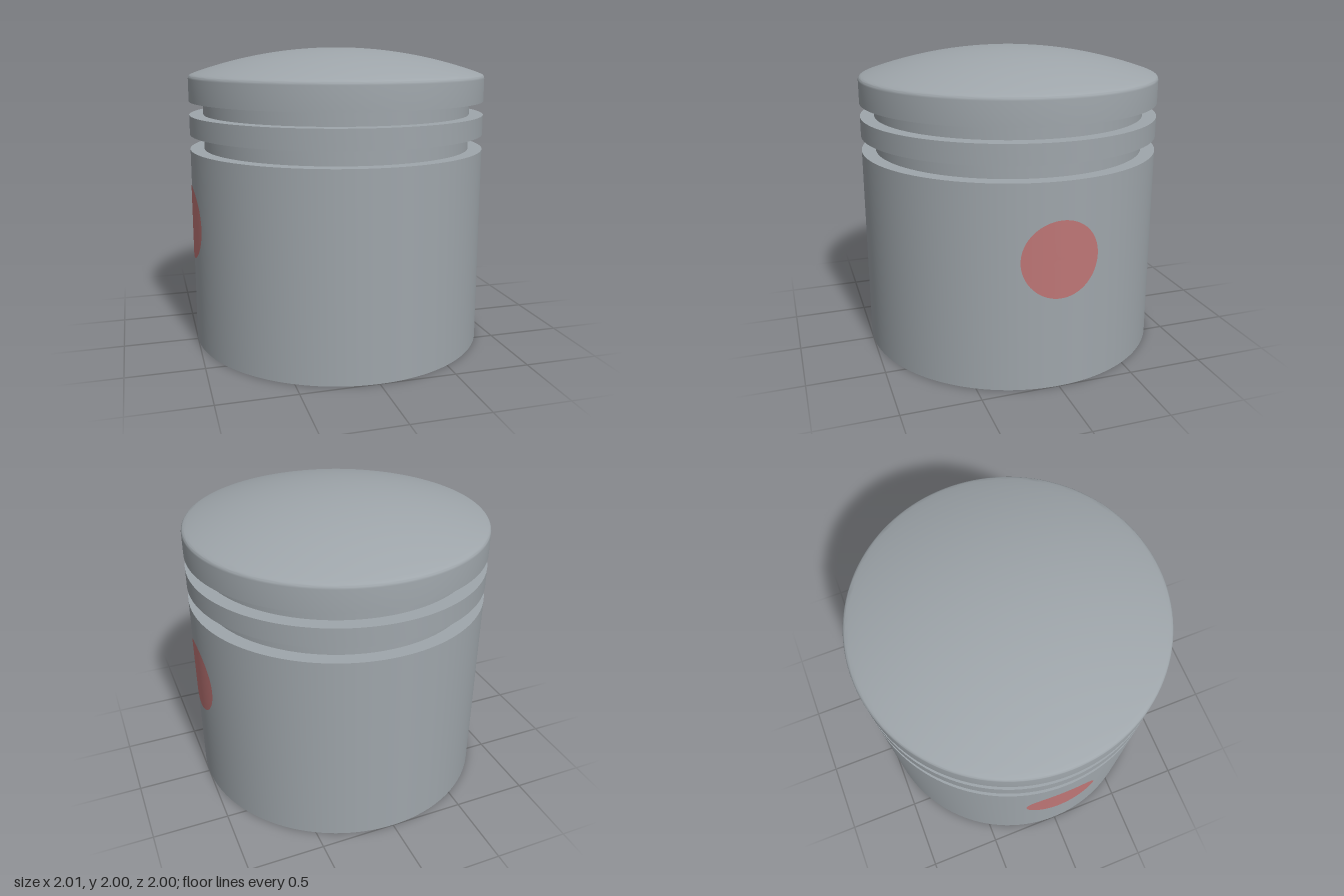
import * as THREE from 'three';
import { toCreasedNormals } from 'three/addons/utils/BufferGeometryUtils.js';

const metal = new THREE.MeshStandardMaterial({ color: 0x9fa6ab });
metal.name = 'metal grey';
const red = new THREE.MeshStandardMaterial({ color: 0xbe7676 });
red.name = 'pin red';

const PIN_Y = 0.845;
const v = (x, y) => new THREE.Vector2(x, y);

function mesh(name, geometry, material) {
  const m = new THREE.Mesh(geometry, material);
  m.name = name;
  return m;
}

function turned(points, segments) {
  return toCreasedNormals(new THREE.LatheGeometry(points, segments), 0.6);
}

// Quarter round from pointing outward to pointing along the axis
function fillet(cx, cy, r, from, to, steps = 6) {
  return Array.from({ length: steps + 1 }, (_, i) => {
    const a = from + ((to - from) * i) / steps;
    return v(cx + r * Math.cos(a), cy + r * Math.sin(a));
  });
}

// Hollow skirt, ring grooves and domed crown in one turned profile
function pistonBody() {
  const outer = 1, inner = 0.867, groove = 0.907;
  const points = [v(0, 1.6), v(inner, 1.6), v(inner, 0), v(outer, 0)];
  for (const [low, high] of [[1.33, 1.43], [1.56, 1.65]]) {
    points.push(v(outer, low), v(groove, low), v(groove, high), v(outer, high));
  }
  points.push(...fillet(0.97, 1.8, 0.03, 0, 1.23));
  const domeR = 2.9, steps = 14;
  const start = Math.asin(0.96 / domeR);
  for (let i = 0; i <= steps; i++) {
    const a = start * (1 - i / steps);
    points.push(v(domeR * Math.sin(a), 2 - domeR * (1 - Math.cos(a))));
  }
  return mesh('pistonBody', turned(points, 128), metal);
}

// Round plate that follows the curve of the skirt, facing +x
function pinCap(radius) {
  const g = new THREE.RingGeometry(0, radius, 64, 8);
  const p = g.attributes.position;
  for (let i = 0; i < p.count; i++) {
    p.setZ(i, Math.sqrt(1.003 ** 2 - p.getX(i) ** 2));
  }
  g.rotateY(Math.PI / 2);
  g.computeVertexNormals();
  return mesh('pinCap', g, red);
}

// Boss, outer cap and inner pin end on the +x side
function pinSide(name) {
  const side = new THREE.Group();
  side.name = name;
  const r = 0.37, round = 0.08, wallX = 0.88, endX = 0.37;
  const profile = [
    v(r, -wallX),
    ...fillet(r - round, -endX - round, round, 0, Math.PI / 2),
    v(0, -endX),
  ];
  const boss = mesh('pinBoss', turned(profile, 64).rotateZ(Math.PI / 2), metal);
  const end = mesh('pinEnd', new THREE.CircleGeometry(0.23, 48).rotateY(-Math.PI / 2), red);
  end.position.x = endX - 0.004;
  side.add(boss, end, pinCap(0.248));
  side.position.y = PIN_Y;
  return side;
}

export function createModel() {
  const model = new THREE.Group();
  model.name = 'piston';
  const left = pinSide('leftPin');
  const right = pinSide('rightPin');
  right.rotation.y = Math.PI;
  model.add(pistonBody(), left, right);
  return model;
}
